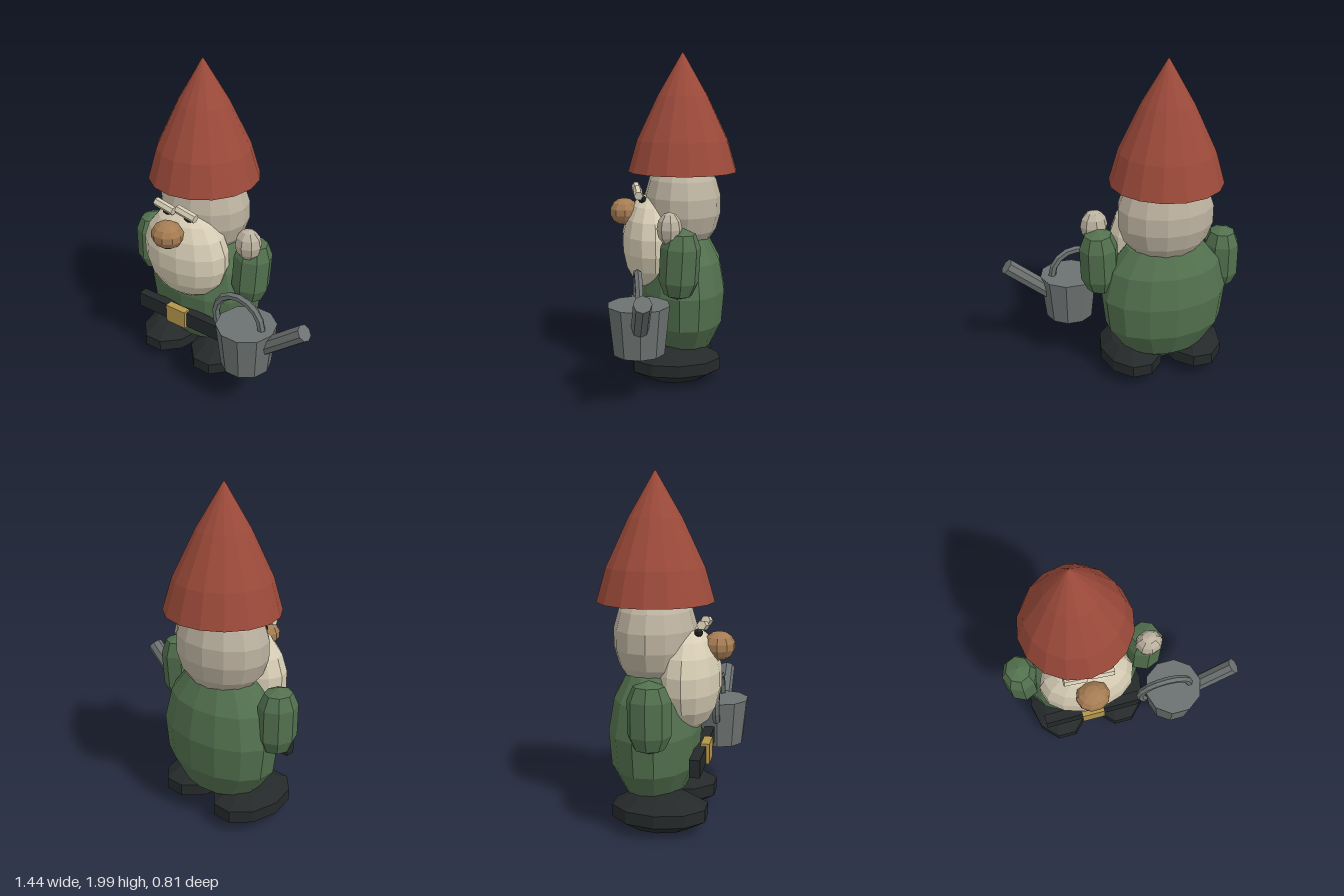
import * as THREE from 'three';

const COLORS = {
  hat: 0x9c4a3a, green: 0x52704e, skin: 0xbcb2a0, beard: 0xd6ccb4,
  nose: 0xa57c52, black: 0x25292a, metal: 0x6c7271, gold: 0xb4954a,
};
const MATERIALS = {};
for (const key in COLORS) {
  MATERIALS[key] = new THREE.MeshStandardMaterial({ color: COLORS[key], flatShading: true });
}

export function createModel() {
  const model = new THREE.Group();
  model.name = 'gardenGnome';
  const CX = -0.23, CZ = -0.07; // axis of the figure

  const add = (name, geometry, color, x = 0, y = 0, z = 0, parent = model) => {
    const mesh = new THREE.Mesh(geometry, MATERIALS[color]);
    mesh.name = name;
    mesh.position.set(x, y, z);
    parent.add(mesh);
    return mesh;
  };
  const ellipsoid = (name, color, pos, radii, w = 12, h = 8, parent = model) => {
    const geometry = new THREE.SphereGeometry(1, w, h).scale(...radii);
    return add(name, geometry, color, ...pos, parent);
  };
  const lathe = (points, segments) =>
    new THREE.LatheGeometry(points.map(([r, y]) => new THREE.Vector2(r, y)), segments);

  // Pear-shaped body, flatter from front to back
  const body = lathe([[0, 0.06], [0.66, 0.2], [0.94, 0.36], [1, 0.56],
    [0.88, 0.745], [0.61, 0.88], [0, 0.98]], 14);
  add('body', body.scale(0.39, 1, 0.265), 'green', CX, 0, CZ);

  // Pointed hat with a closed underside
  add('hat', lathe([[0, 1.28], [0.335, 1.28], [0.28, 1.47], [0.152, 1.74], [0, 2]], 16),
    'hat', CX, 0, CZ);

  // Head and face
  ellipsoid('head', 'skin', [CX, 1.08, CZ], [0.295, 0.31, 0.238], 14, 9);
  ellipsoid('beard', 'beard', [CX, 0.845, 0.12], [0.292, 0.3, 0.188], 14, 9);
  ellipsoid('nose', 'nose', [CX, 1.035, 0.29], [0.102, 0.083, 0.092], 10, 7);
  for (const [side, name] of [[-1, 'right'], [1, 'left']]) {
    const x = CX + side * 0.08;
    ellipsoid(name + 'Eye', 'black', [x, 1.12, 0.185], [0.037, 0.024, 0.025], 8, 5);
    const brow = add(name + 'Eyebrow', new THREE.CylinderGeometry(0.027, 0.027, 0.135, 6),
      'beard', x, 1.16, 0.21);
    brow.rotation.z = Math.PI / 2 - 0.19;
    // Shoes
    ellipsoid(name + 'Shoe', 'black', [CX + side * 0.197, 0.125, -0.01], [0.202, 0.115, 0.29], 10, 5);
  }

  // Arms, the left one raised with its hand showing
  const rightArm = ellipsoid('rightArm', 'green', [-0.618, 0.715, -0.03], [1, 1, 1], 8, 6);
  rightArm.geometry = new THREE.CapsuleGeometry(0.107, 0.19, 2, 8).scale(1, 1, 1.12);
  const leftArm = add('leftArm', new THREE.CapsuleGeometry(0.117, 0.2, 2, 8), 'green', 0.162, 0.785, -0.01);
  leftArm.rotation.set(-0.05, 0, -0.05);
  ellipsoid('leftHand', 'skin', [0.175, 0.995, 0.05], [0.084, 0.097, 0.074], 8, 6);

  // Belt and buckle
  add('belt', new THREE.BoxGeometry(0.62, 0.1, 0.06), 'black', -0.23, 0.415, 0.2);
  add('buckle', new THREE.BoxGeometry(0.145, 0.118, 0.05), 'gold', CX, 0.42, 0.225);

  // Watering can
  const can = new THREE.Group();
  can.name = 'wateringCan';
  can.position.z = 0.237;
  model.add(can);
  const bucket = add('canBody', new THREE.CylinderGeometry(0.18, 0.15, 0.28, 10), 'metal', 0.297, 0.45, 0, can);
  bucket.rotation.y = Math.PI / 2;
  const handle = add('canHandle', new THREE.TorusGeometry(0.162, 0.024, 6, 10, Math.PI * 1.2),
    'metal', 0.24, 0.59, 0, can);
  handle.rotation.z = 0.03;
  const start = new THREE.Vector3(0.4, 0.465, 0), end = new THREE.Vector3(0.683, 0.7, 0);
  const dir = end.clone().sub(start);
  const spout = add('canSpout', new THREE.CylinderGeometry(0.05, 0.05, dir.length(), 8), 'metal',
    ...start.add(end).multiplyScalar(0.5).toArray(), can);
  spout.quaternion.setFromUnitVectors(new THREE.Vector3(0, 1, 0), dir.normalize());

  return model;
}
